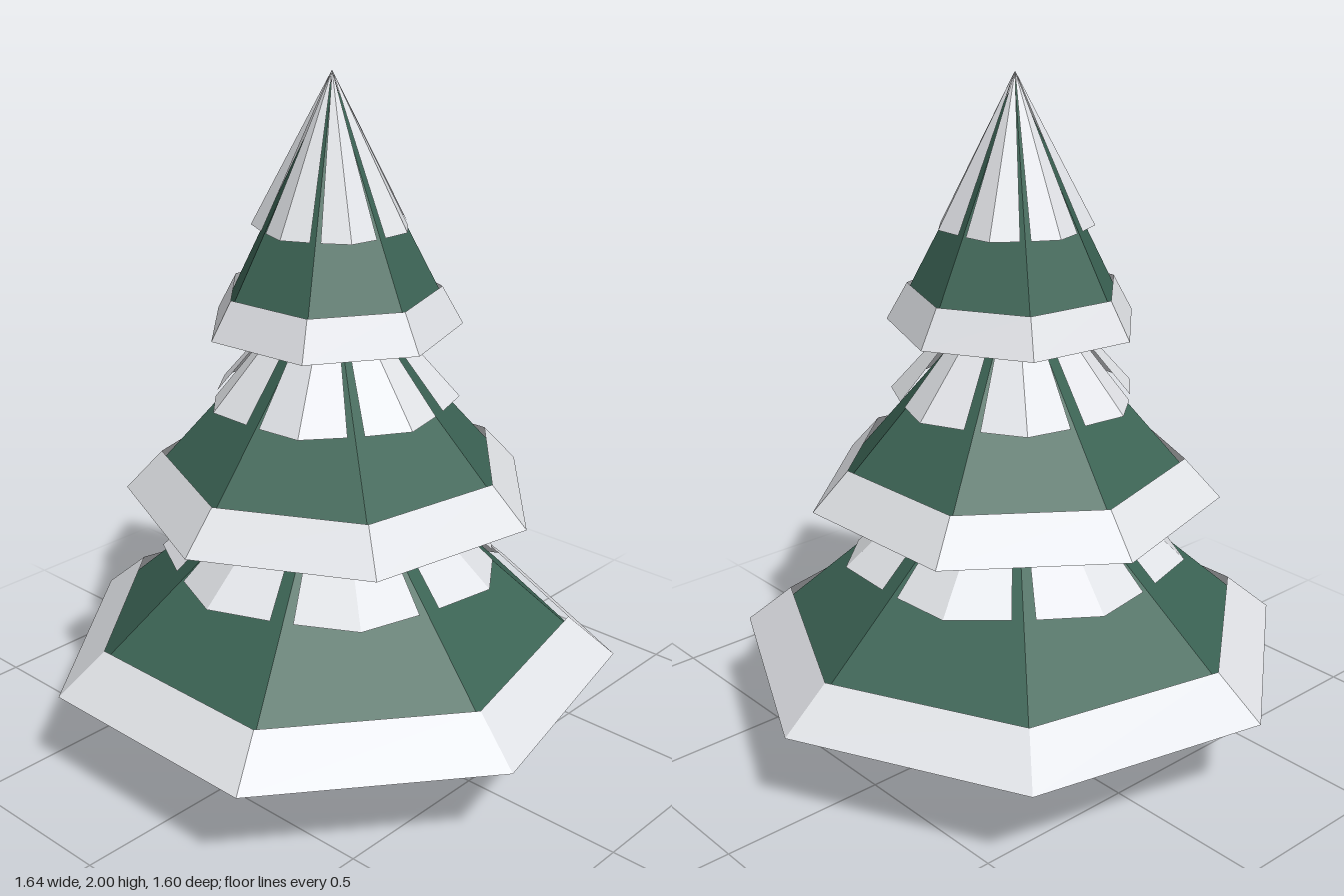
import * as THREE from 'three';

const SIDES = 7;
const STEP = (Math.PI * 2) / SIDES;

const make = (name, hex, side = THREE.FrontSide) => {
  const m = new THREE.MeshStandardMaterial({ color: hex, side, flatShading: true });
  m.name = name;
  return m;
};

// Each tier: base height y, green radius r and apex, hem top and radii,
// then drape height, radius and apex of the snow tongues
const tiers = [
  { y: 0.28, r: 0.8, apex: 1.0, hemTop: 0.4, hem: [0.7, 0.84], snowY: 0.595, snowR: 0.508, snowApex: 1.05 },
  { y: 0.79, r: 0.572, apex: 1.44, hemTop: 0.905, hem: [0.496, 0.602], snowY: 1.085, snowR: 0.36, snowApex: 1.495 },
  { y: 1.297, r: 0.347, apex: 1.975, hemTop: 1.405, hem: [0.305, 0.365], snowY: 1.582, snowR: 0.223, snowApex: 2.0 },
];

// Seven ridged snow tongues, one per side, narrow gaps left along the corners
function tongues(t, phase) {
  const pos = [];
  const half = THREE.MathUtils.degToRad(21.7);
  const rim = (a, r) => [Math.sin(a) * r, t.snowY, Math.cos(a) * r];
  for (let i = 0; i < SIDES; i++) {
    const mid = phase + (i + 0.5) * STEP;
    const apex = [0, t.snowApex, 0];
    const a = rim(mid - half, t.snowR * 0.925);
    const b = rim(mid, t.snowR);
    const c = rim(mid + half, t.snowR * 0.925);
    pos.push(...apex, ...a, ...b, ...apex, ...b, ...c);
  }
  const g = new THREE.BufferGeometry();
  g.setAttribute('position', new THREE.Float32BufferAttribute(pos, 3));
  g.computeVertexNormals();
  return g;
}

export function createModel() {
  const green = make('needle green', 0x3c6455);
  const snow = make('snow white', 0xe9ebef, THREE.DoubleSide);
  const bark = make('bark brown', 0x523522);

  const tree = new THREE.Group();
  tree.name = 'snowyTree';
  tree.position.z = 0.041;
  const add = (parent, name, geometry, material, y = 0) => {
    const mesh = new THREE.Mesh(geometry, material);
    mesh.name = name;
    mesh.position.y = y;
    parent.add(mesh);
  };

  // Hexagonal trunk
  add(tree, 'trunk', new THREE.CylinderGeometry(0.076, 0.093, 0.3, 6), bark, 0.15);

  // Tiers, each turned a little further than the one below
  tiers.forEach((t, i) => {
    const tier = new THREE.Group();
    tier.name = `tier${i + 1}`;
    const phase = Math.PI + i * 0.49;
    const h = t.apex - t.y;
    const hemH = t.hemTop - t.y;
    add(tier, 'foliage', new THREE.ConeGeometry(t.r, h, SIDES, 1, false, phase), green, t.y + h / 2);
    add(tier, 'snowHem', new THREE.CylinderGeometry(t.hem[0], t.hem[1], hemH, SIDES, 1, true, phase), snow, t.y + hemH / 2);
    add(tier, 'snowTongues', tongues(t, phase), snow);
    tree.add(tier);
  });

  const model = new THREE.Group();
  model.name = 'model';
  model.add(tree);
  return model;
}
